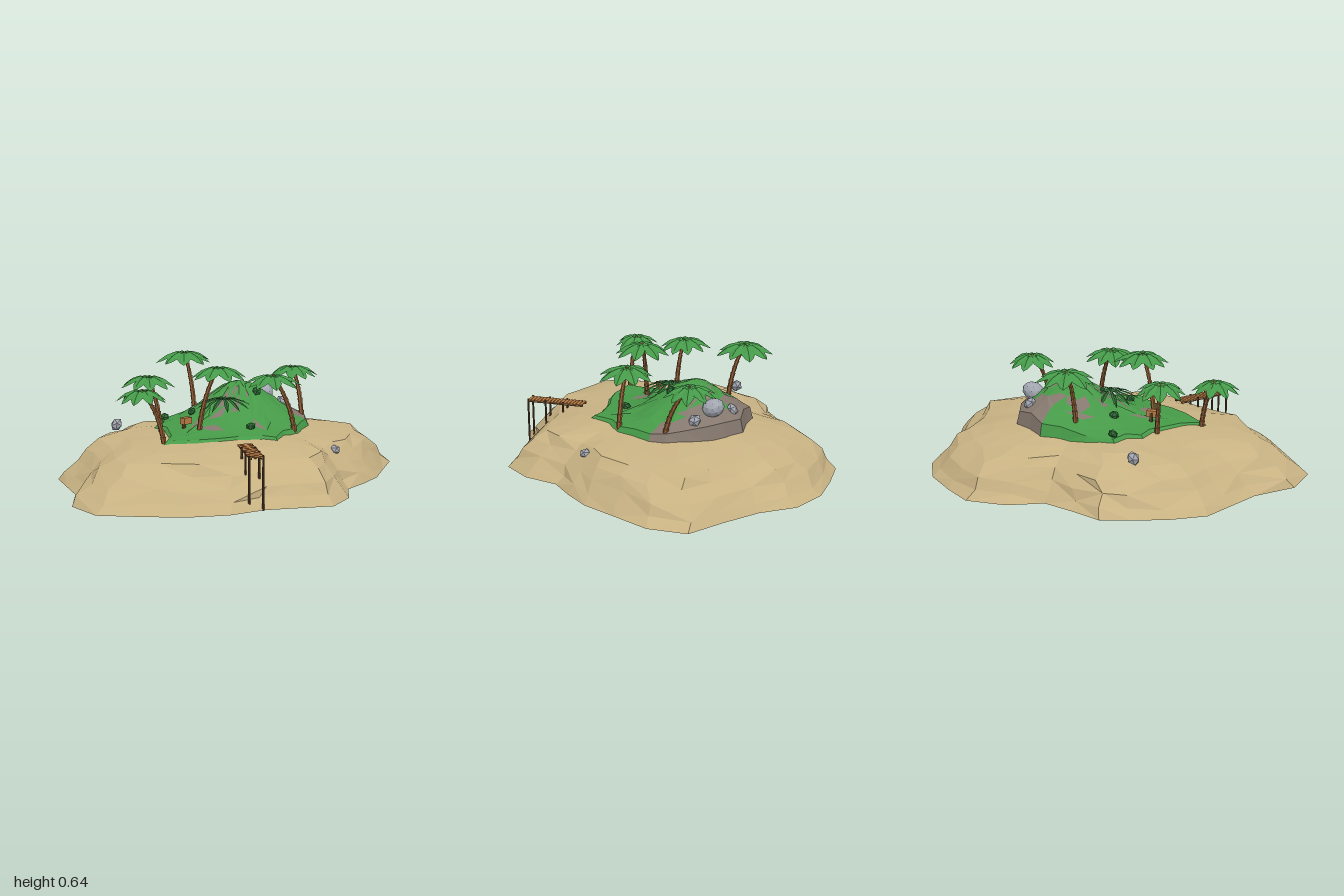
import * as THREE from 'three';

const mat = (name, color, side = THREE.FrontSide) => {
  const m = new THREE.MeshStandardMaterial({ color, flatShading: true, side });
  m.name = name;
  return m;
};
const sandMat = mat('sand', 0xc8b283);
const grassMat = mat('grass', 0x469a48);
const cliffMat = mat('cliff rock', 0x85786e);
const leafMat = mat('palm leaf', 0x459a49, THREE.DoubleSide);
const fernMat = mat('fern and bush', 0x2f6b36, THREE.DoubleSide);
const trunkMat = mat('trunk', 0x8f5c34);
const stoneMat = mat('stone', 0xa2a6b0);
const plankMat = mat('plank', 0xb87c46);
const postMat = mat('dark wood', 0x5a4129);

// Outlines run back, right, front, left
const COAST = [[.06, -.9], [.25, -.87], [.45, -.82], [.62, -.7], [.71, -.51], [.85, -.34], [1, -.18], [.96, .03], [.83, .21],
  [.71, .38], [.58, .49], [.45, .58], [.37, .76], [.23, .89], [.06, .87], [-.12, .85], [-.32, .89], [-.53, .86], [-.72, .78],
  [-.93, .68], [-1, .47], [-.93, .23], [-.935, .04], [-.94, -.15], [-.84, -.32], [-.72, -.46], [-.6, -.58], [-.42, -.6], [-.25, -.63], [-.13, -.79]];
const HILL = [[0, -.44], [.12, -.41], [.24, -.4], [.33, -.31], [.39, -.22], [.44, -.1], [.46, 0], [.43, .09], [.36, .18],
  [.29, .28], [.19, .34], [.1, .46], [.04, .42], [-.1, .4], [-.22, .41], [-.33, .4], [-.5, .35], [-.44, .24], [-.42, .13],
  [-.4, .02], [-.43, -.08], [-.37, -.14], [-.37, -.24], [-.24, -.33], [-.1, -.38]];
const PEAK = [.09, -.12];
const SLOPE = [[0, .275], [.25, .272], [.45, .266], [.63, .245], [.77, .212], [.84, .168], [.9, .11], [.95, .05], [1, .004]];

const hash = (a, b) => {
  const s = Math.sin(a * 127.1 + b * 311.7) * 43758.5453;
  return s - Math.floor(s);
};

function profileY(s) {
  for (let i = 1; i < SLOPE.length; i++) {
    const [s0, y0] = SLOPE[i - 1], [s1, y1] = SLOPE[i];
    if (s <= s1) return y0 + (y1 - y0) * (s - s0) / (s1 - s0);
  }
  return 0;
}
// Height of the beach at a point, from its fraction of the way to the coast
function sandY(x, z) {
  for (let i = 0; i < COAST.length; i++) {
    const a = COAST[i], b = COAST[(i + 1) % COAST.length];
    const det = a[0] * b[1] - a[1] * b[0];
    const u = (x * b[1] - z * b[0]) / det, v = (a[0] * z - a[1] * x) / det;
    if (u >= -1e-9 && v >= -1e-9) return profileY(u + v);
  }
  return .275;
}
function hillY(x, z) {
  const dx = x - PEAK[0], dz = z - PEAK[1];
  const w = dx - dz > .15 ? .26 : .24;
  return sandY(x, z) + .012 + .215 * Math.exp(-(dx * dx + dz * dz) / (w * w));
}

// Surface of nested rings; pick(i, k, n) chooses the material of each triangle
function ringSurface(n, rings, point, mats, pick) {
  const lists = mats.map(() => []);
  for (let k = 1; k < rings; k++) for (let i = 0; i < n; i++) {
    const j = (i + 1) % n;
    const o0 = point(i, k), o1 = point(j, k), i0 = point(i, k - 1), i1 = point(j, k - 1);
    const flip = hash(i + 5, k) > .5;
    const tris = k === 1 ? [[o1, o0, i0]] : flip ? [[o1, o0, i0], [o1, i0, i1]] : [[o1, o0, i1], [o0, i0, i1]];
    tris.forEach((t, q) => lists[pick(i, k, q)].push(...t.flat()));
  }
  const geo = new THREE.BufferGeometry();
  geo.setAttribute('position', new THREE.Float32BufferAttribute(lists.flat(), 3));
  let start = 0;
  lists.forEach((l, m) => { geo.addGroup(start, l.length / 3, m); start += l.length / 3; });
  geo.computeVertexNormals();
  return new THREE.Mesh(geo, mats);
}

function add(parent, name, geo, material, x = 0, y = 0, z = 0) {
  const m = new THREE.Mesh(geo, material);
  m.name = name;
  m.position.set(x, y, z);
  parent.add(m);
  return m;
}

// Star of drooping folded blades
function fronds(n, R, width, droop, seed) {
  const pos = [];
  const rows = [[0, .15, .0], [.3, .7, .1], [.62, 1, -.2], [.85, .55, -.65], [1, 0, -1]];
  for (let b = 0; b < n; b++) {
    const a = (b + .3 * hash(b, seed)) / n * Math.PI * 2 + seed, r = R * (.88 + .2 * hash(b, seed + 3));
    const p = ([t, w, h], side) => {
      const d = t * r, s = side * w * width;
      return [Math.cos(a) * d - Math.sin(a) * s, h * droop - Math.abs(side) * w * width * .4, Math.sin(a) * d + Math.cos(a) * s];
    };
    for (let k = 1; k < rows.length; k++) for (const s of [-1, 1]) {
      const a0 = p(rows[k - 1], 0), a1 = p(rows[k], 0), e0 = p(rows[k - 1], s), e1 = p(rows[k], s);
      const quad = s > 0 ? [a0, e0, e1, a0, e1, a1] : [a0, e1, e0, a0, a1, e1];
      pos.push(...quad.flat());
    }
  }
  const geo = new THREE.BufferGeometry();
  geo.setAttribute('position', new THREE.Float32BufferAttribute(pos, 3));
  geo.computeVertexNormals();
  return geo;
}

// Palm with a curved trunk of flared segments
function palm(base, top, R, seed) {
  const g = new THREE.Group();
  g.name = 'palm';
  const b = new THREE.Vector3(base[0], hillY(...base) - .02, base[1]), t = new THREE.Vector3(...top);
  const mid = new THREE.Vector3(b.x + (t.x - b.x) * .2, (b.y + t.y) / 2 + .03, b.z + (t.z - b.z) * .2);
  const curve = new THREE.QuadraticBezierCurve3(b, mid, t), N = 9;
  for (let i = 0; i < N; i++) {
    const p = curve.getPoint(i / N), q = curve.getPoint((i + 1) / N), r = .0155 - .006 * i / N;
    const seg = add(g, 'trunkSegment', new THREE.CylinderGeometry(r, r * .78, p.distanceTo(q) * 1.08, 6), trunkMat);
    seg.position.copy(p).lerp(q, .5);
    seg.quaternion.setFromUnitVectors(new THREE.Vector3(0, 1, 0), q.clone().sub(p).normalize());
  }
  add(g, 'palmLeaves', fronds(9, R, R * .24, .055, seed), leafMat, ...top);
  return g;
}

function boulder(parent, name, material, x, y, z, r, seed) {
  const m = add(parent, name, new THREE.IcosahedronGeometry(r, r > .05 ? 1 : 0), material, x, y, z);
  m.scale.set(1.1, .85, 1);
  m.rotation.set(seed, seed * 2, seed * .7);
}

export function createModel() {
  const model = new THREE.Group();

  // Beach
  const beach = ringSurface(COAST.length, SLOPE.length, (i, k) => {
    const [x, z] = COAST[i], s = SLOPE[k][0], edge = k === SLOPE.length - 1;
    const j = edge || k < 3 ? 0 : .035;
    const f = s + (hash(i, k) - .5) * j, tw = (hash(i + 40, k) - .5) * j * 1.6;
    return [x * f - z * tw, SLOPE[k][1] + (edge || k < 3 ? 0 : (hash(i, k + 30) - .5) * .018), z * f + x * tw];
  }, [sandMat], () => 0);
  beach.name = 'beach';
  model.add(beach);
  const under = add(model, 'underside', new THREE.ShapeGeometry(new THREE.Shape(COAST.map(p => new THREE.Vector2(...p)))), sandMat, 0, .004, 0);
  under.rotation.x = Math.PI / 2;

  // Grassy hill with cliff faces on the back right
  const ts = [0, .14, .28, .42, .56, .7, .82, .94, 1];
  const hill = ringSurface(HILL.length, ts.length, (i, k) => {
    const t = ts[k] + (k > 0 && k < 7 ? (hash(i, k + 9) - .5) * .07 : 0);
    const x = PEAK[0] + (HILL[i][0] - PEAK[0]) * t, z = PEAK[1] + (HILL[i][1] - PEAK[1]) * t;
    return [x, k === ts.length - 1 ? sandY(x, z) - .012 : hillY(x, z) + (k > 1 && k < 6 ? (hash(i, k) - .3) * .012 : 0), z];
  }, [grassMat, cliffMat], (i, k, q) => {
    if (i < 7 && k > 4 + (hash(i, 2) > .6 ? 1 : 0)) return 1;
    return k > 1 && k < 6 && hash(i * 2 + q, k + 17) < .15 ? 1 : 0;
  });
  hill.name = 'hill';
  model.add(hill);

  // Palms: base, crown, leaf length
  [[[-.12, -.29], [-.15, .635, -.38], .165], [[-.245, .18], [-.14, .62, .19], .155], [[-.41, .03], [-.47, .56, -.01], .145],
    [[-.475, .31], [-.585, .535, .285], .13], [[.27, .265], [.15, .57, .235], .155], [[.42, 0], [.415, .56, -.13], .14]]
    .forEach(([b, t, r], i) => model.add(palm(b, t, r, i * 1.7 + .4)));

  // Fern and bushes
  add(model, 'fern', fronds(13, .17, .013, .05, 2.2), fernMat, -.05, hillY(-.05, .03) + .035, .03);
  [[-.32, -.21], [-.2, -.085], [.15, 0], [.02, .26]].forEach(([x, z], i) =>
    boulder(model, 'bush', fernMat, x, hillY(x, z) + .01, z, .026, i + .5));

  // Stones
  [[.275, .405, -.24, .06], [.195, .37, -.335, .036], [.36, .36, -.15, .036], [-.57, .255, -.31, .036], [.44, .185, .42, .029]]
    .forEach(([x, y, z, r], i) => boulder(model, 'stone', stoneMat, x, y, z, r, i * .9 + .3));

  // Small wooden sign on a post
  const sign = new THREE.Group();
  sign.name = 'sign';
  sign.position.set(-.295, 0, .11);
  sign.rotation.y = .45;
  add(sign, 'signPost', new THREE.BoxGeometry(.014, .08, .014), postMat, 0, .3, -.015);
  add(sign, 'signBoard', new THREE.BoxGeometry(.055, .035, .035), plankMat, 0, .333, 0);
  model.add(sign);

  // Jetty running out over the shore
  const jetty = new THREE.Group();
  jetty.name = 'jetty';
  jetty.position.set(-.11, 0, .52);
  jetty.rotation.y = -.167;
  const L = .33, N = 17;
  for (let i = 0; i < N; i++) {
    const p = add(jetty, 'plank', new THREE.BoxGeometry(.077, .006, L / N * .8), plankMat, (hash(i, 1) - .5) * .006, .27, (i + .5) * L / N);
    p.rotation.y = (hash(i, 4) - .5) * .08;
  }
  for (const s of [-1, 1]) {
    add(jetty, 'beam', new THREE.BoxGeometry(.009, .008, L), postMat, s * .028, .263, L / 2);
    for (const z of [.115, .22, .325])
      add(jetty, 'post', new THREE.CylinderGeometry(.006, .006, .278, 6), postMat, s * .035, .139, z);
  }
  model.add(jetty);
  return model;
}
